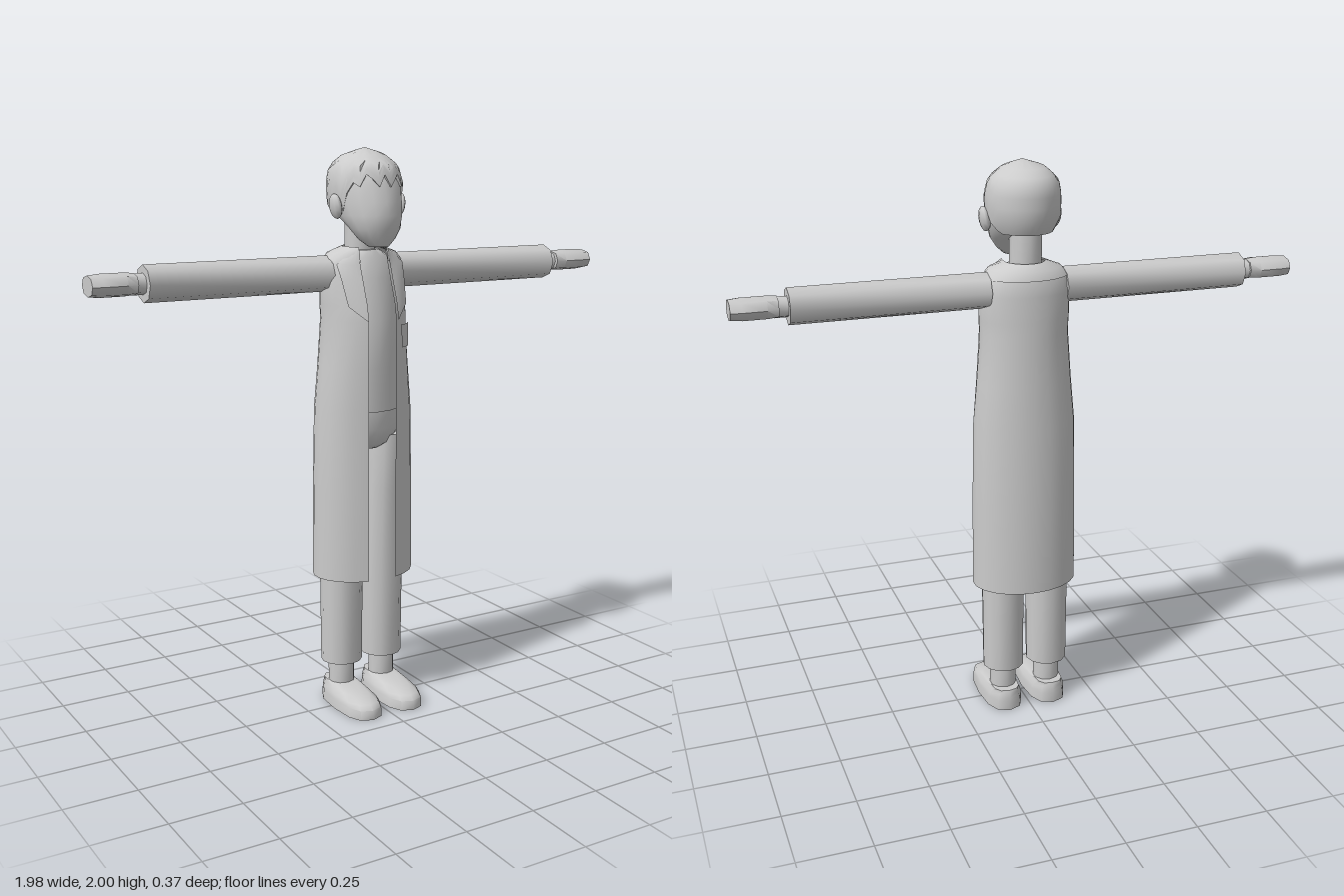
import * as THREE from 'three';
import { toCreasedNormals } from 'three/addons/utils/BufferGeometryUtils.js';

const grey = new THREE.MeshStandardMaterial({ color: 0xcccccc });
const thin = new THREE.MeshStandardMaterial({ color: 0xcccccc, side: THREE.DoubleSide });

// Surface from rows of points, each row running counterclockwise seen from above
function skin(rows, closed = true, caps = true) {
  const n = rows[0].length, pos = rows.flat(2), idx = [];
  const w = closed ? n : n - 1;
  for (let i = 0; i < rows.length - 1; i++) for (let j = 0; j < w; j++) {
    const k = (j + 1) % n, a = i * n + j, b = i * n + k, c = b + n, d = a + n;
    idx.push(a, b, c, a, c, d);
  }
  if (caps) {
    const t = (rows.length - 1) * n;
    for (let j = 1; j < n - 1; j++) idx.push(0, j + 1, j, t, t + j, t + j + 1);
  }
  const g = new THREE.BufferGeometry();
  g.setAttribute('position', new THREE.Float32BufferAttribute(pos, 3));
  g.setIndex(idx);
  return toCreasedNormals(g, 0.9);
}

const bend = (v, p) => Math.sign(v) * Math.pow(Math.abs(v), p);

// Closed body from sections [y, half width, front z, back z]; p below 1 squares the outline
function loft(sections, n = 12, p = 1) {
  return skin(sections.map(([y, rx, zf, zb]) => Array.from({ length: n }, (_, j) => {
    const a = (j / n) * Math.PI * 2;
    return [rx * bend(Math.sin(a), p), y, (zf + zb) / 2 + ((zf - zb) / 2) * bend(Math.cos(a), p)];
  })));
}

// Section interpolated at height y
function sectionAt(sections, y) {
  let i = 0;
  while (i < sections.length - 2 && y > sections[i + 1][0]) i++;
  const a = sections[i], b = sections[i + 1];
  const t = THREE.MathUtils.clamp((y - a[0]) / (b[0] - a[0]), 0, 1);
  return a.map((v, k) => v + (b[k] - v) * t);
}

const GAP = 0.055, COAT_Z = -0.04;
const coatSections = [
  [0.49, 0.19, 0.103, -0.182], [0.8, 0.188, 0.102, -0.177], [1.1, 0.182, 0.1, -0.17],
  [1.25, 0.168, 0.1, -0.162], [1.42, 0.155, 0.1, -0.157], [1.47, 0.158, 0.092, -0.155],
  [1.56, 0.16, 0.06, -0.152], [1.615, 0.15, 0.04, -0.147], [1.64, 0.125, 0.034, -0.135],
  [1.66, 0.07, 0.028, -0.11],
];

// Coat wall, open at the front
function coatWall(sections, n = 20) {
  return skin(sections.map(([y, rx, zf, zb]) => {
    const a0 = Math.asin(GAP / rx), front = (zf - COAT_Z) / Math.cos(a0), back = COAT_Z - zb;
    return Array.from({ length: n + 1 }, (_, j) => {
      const a = a0 + (j / n) * (Math.PI * 2 - 2 * a0), c = Math.cos(a);
      return [rx * Math.sin(a), y, COAT_Z + c * (c > 0 ? front : back)];
    });
  }), false, false);
}

// Cloth patch lying on the coat front; rows are [y, inner x, outer x]
function coatPatch(rows, side, lift) {
  return skin(rows.map(([y, x0, x1]) => Array.from({ length: 5 }, (_, j) => {
    const [, rx, zf] = sectionAt(coatSections, y);
    const x = x0 + (x1 - x0) * (side > 0 ? j : 4 - j) / 4;
    const front = (zf - COAT_Z) / Math.sqrt(1 - (GAP / rx) ** 2);
    const z = COAT_Z + front * Math.sqrt(Math.max(0, 1 - (x / rx) ** 2));
    return [side * (x + lift * 0.5), y, z + lift];
  })), false, false);
}

// Hair shell with a jagged fringe, sideburns and a nape
function hairGeometry() {
  const shape = [
    [1.76, 0.1, 0.1, -0.135], [1.8, 0.123, 0.112, -0.162], [1.88, 0.129, 0.122, -0.167],
    [1.94, 0.115, 0.105, -0.163], [1.98, 0.068, 0.045, -0.1], [2.0, 0.001, -0.019, -0.021],
  ];
  const edge = [1.91, 1.87, 1.895, 1.912, 1.87, 1.885, 1.85, 1.79, 1.84, 1.835, 1.8,
    1.775, 1.765, 1.765, 1.765, 1.765, 1.765, 1.765, 1.765];
  const ring = (t, inset) => Array.from({ length: 36 }, (_, j) => {
    const a = (j * Math.PI) / 18, y = 2 - (2 - edge[Math.min(j, 36 - j)]) * t;
    const [, rx, zf, zb] = sectionAt(shape, y);
    return [rx * inset * Math.sin(a), y, (zf + zb) / 2 + ((zf - zb) / 2) * inset * Math.cos(a)];
  });
  const rows = [ring(1, 0.5)];
  for (let i = 8; i >= 0; i--) rows.push(ring((i / 8) ** 1.6, 1));
  return skin(rows, true, false);
}

export function createModel() {
  const model = new THREE.Group();
  const add = (name, geo, x = 0, y = 0, z = 0, mat = grey) => {
    const m = new THREE.Mesh(geo, mat);
    m.name = name;
    m.position.set(x, y, z);
    model.add(m);
    return m;
  };
  const tube = (r0, r1, h, n = 10) => toCreasedNormals(new THREE.CylinderGeometry(r0, r1, h, n), 0.9);

  // Head
  add('head', loft([
    [1.67, 0.035, 0.108, 0.035], [1.695, 0.065, 0.12, 0.0], [1.73, 0.09, 0.13, -0.03],
    [1.775, 0.108, 0.139, -0.12], [1.82, 0.117, 0.128, -0.145], [1.88, 0.118, 0.113, -0.148],
    [1.94, 0.1, 0.085, -0.14], [1.975, 0.05, 0.03, -0.08],
  ], 16));
  add('hair', hairGeometry(), 0, 0, 0, thin);
  add('neck', tube(0.055, 0.055, 0.16), 0, 1.69, -0.052);

  // Clothes on the trunk
  add('shirt', loft([
    [1.095, 0.13, 0.078, -0.13], [1.25, 0.125, 0.08, -0.13], [1.42, 0.125, 0.088, -0.13],
    [1.56, 0.12, 0.052, -0.13], [1.63, 0.1, 0.035, -0.12], [1.655, 0.06, 0.02, -0.11],
  ], 16));
  add('hips', loft([
    [0.955, 0.05, 0.03, -0.1], [0.975, 0.11, 0.052, -0.125], [1.03, 0.145, 0.068, -0.14],
    [1.1, 0.14, 0.07, -0.14],
  ], 16));
  add('coat', coatWall(coatSections), 0, 0, 0, thin);
  add('collar', coatWall([
    [1.615, 0.152, 0.044, -0.155], [1.645, 0.127, 0.04, -0.143], [1.666, 0.07, 0.033, -0.113],
  ]), 0, 0, 0, thin);
  add('pocket', coatPatch([[1.32, 0.078, 0.122], [1.4, 0.07, 0.132]], 1, 0.008), 0, 0, 0, thin);

  for (const s of [-1, 1]) {
    const side = s > 0 ? 'left' : 'right';
    const ear = add(side + 'Ear', new THREE.SphereGeometry(1, 10, 7), s * 0.126, 1.805, 0);
    ear.scale.set(0.018, 0.043, 0.033);
    ear.rotation.z = -s * 0.15;

    add(side + 'Lapel', coatPatch([
      [1.42, 0.055, 0.058], [1.47, 0.055, 0.112], [1.56, 0.055, 0.122],
      [1.61, 0.055, 0.128], [1.655, 0.055, 0.07],
    ], s, 0.008), 0, 0, 0, thin);

    // Arm, held straight out
    const parts = [
      add(side + 'Sleeve', tube(0.062, 0.062, 0.67, 8), s * 0.47, 1.575, -0.05),
      add(side + 'Wrist', tube(0.035, 0.035, 0.08, 8), s * 0.81, 1.575, -0.05),
      add(side + 'Hand', loft([
        [-0.077, 0.035, 0.046, -0.046], [-0.04, 0.038, 0.054, -0.054],
        [0.04, 0.038, 0.054, -0.054], [0.077, 0.034, 0.05, -0.05],
      ], 8, 0.85), s * 0.914, 1.577, -0.047),
    ];
    for (const p of parts) p.rotation.z = -s * Math.PI / 2;

    // Leg and foot
    add(side + 'TrouserLeg', loft([
      [0.158, 0.075, 0.027, -0.122], [0.5, 0.077, 0.032, -0.125],
      [0.8, 0.075, 0.042, -0.13], [1.0, 0.07, 0.05, -0.13],
    ], 12), s * 0.084, 0, 0);
    add(side + 'Ankle', tube(0.048, 0.048, 0.12), s * 0.085, 0.115, -0.047);
    add(side + 'Shoe', loft([
      [0, 0.072, 0.185, -0.133], [0.035, 0.07, 0.184, -0.132], [0.05, 0.066, 0.165, -0.131],
      [0.066, 0.056, 0.1, -0.128], [0.077, 0.05, 0.01, -0.123],
    ], 12, 0.75), s * 0.085, 0, 0);
  }
  return model;
}
